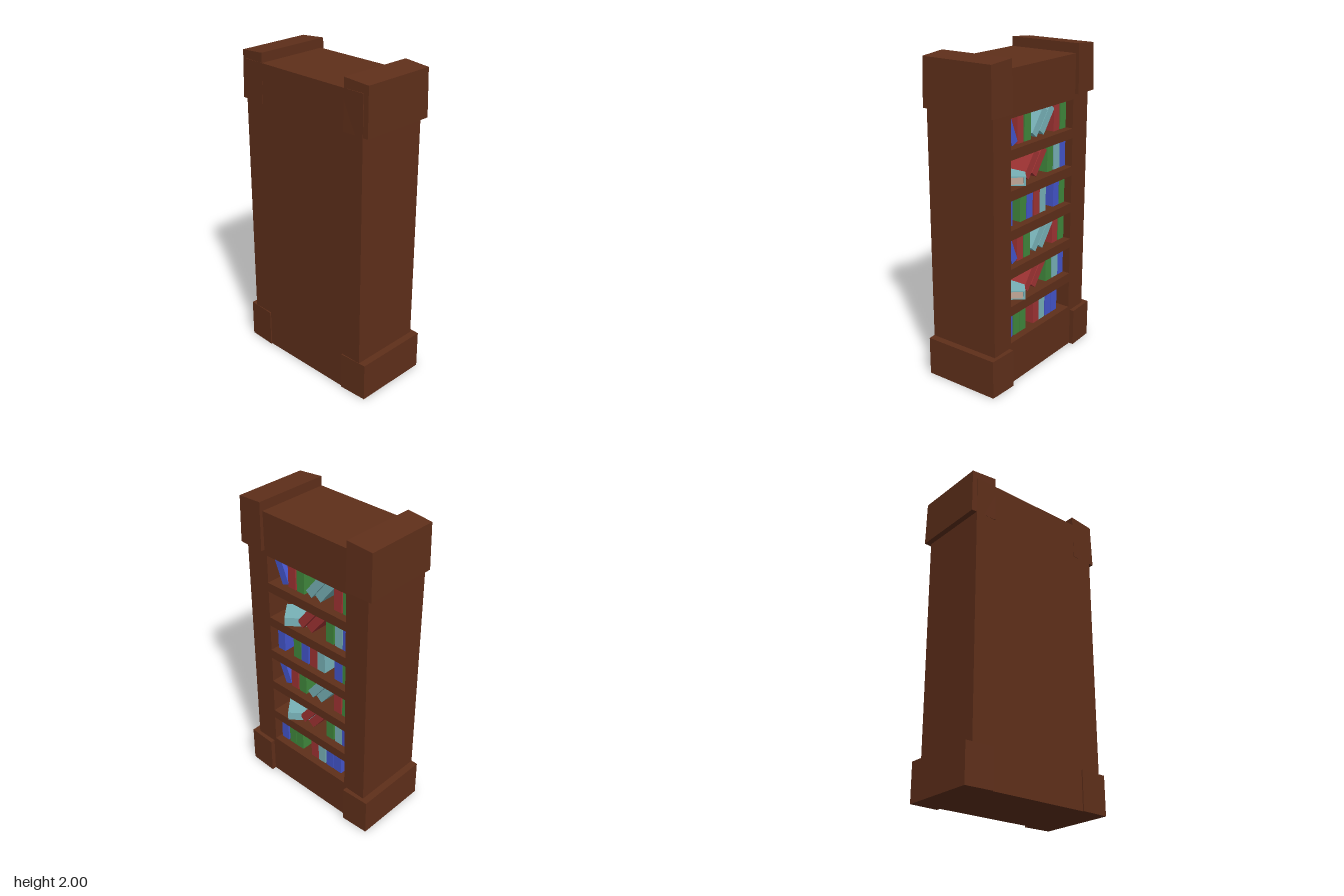
import * as THREE from 'three';

const material = (color) => new THREE.MeshStandardMaterial({ color, flatShading: true });

export function createModel() {
  const bookcase = new THREE.Group();
  bookcase.name = 'bookcase';
  const wood = material(0x5f2f1a);
  const paper = material(0xc2a898);
  const covers = {
    blue: material(0x4455cc), red: material(0xa03333),
    green: material(0x40883c), teal: material(0x78b2b8),
  };

  const add = (parent, name, geometry, mat, x = 0, y = 0, z = 0) => {
    const mesh = new THREE.Mesh(geometry, mat);
    mesh.name = name;
    mesh.position.set(x, y, z);
    parent.add(mesh);
    return mesh;
  };

  // Cabinet: solid back half plus a deep front with six shelf openings (open towards +x)
  const height = 1.94, halfDepth = 0.472, shelfBack = -0.02, front = 0.228;
  const floors = [1.483, 1.241, 1.0, 0.758, 0.517, 0.275];
  const openHalf = 0.312, openHeight = 0.181;
  const backWidth = shelfBack + 0.25;
  add(bookcase, 'cabinetBack', new THREE.BoxGeometry(backWidth, height, halfDepth * 2), wood,
    -0.25 + backWidth / 2, height / 2, 0);

  const rectangle = (path, x0, y0, x1, y1) => {
    path.moveTo(x0, y0);
    path.lineTo(x1, y0);
    path.lineTo(x1, y1);
    path.lineTo(x0, y1);
    path.closePath();
    return path;
  };
  const face = rectangle(new THREE.Shape(), -halfDepth, 0, halfDepth, height);
  for (const y of floors) {
    face.holes.push(rectangle(new THREE.Path(), -openHalf, y, openHalf, y + openHeight));
  }
  const shelves = new THREE.ExtrudeGeometry(face, { depth: front - shelfBack, bevelEnabled: false });
  shelves.rotateY(Math.PI / 2);
  add(bookcase, 'shelfFrame', shelves, wood, shelfBack, 0, 0);

  // End blocks: boxes tapered towards the outer end and, for the upper pair, the top
  const endBlock = (y0, y1, innerHalf, outerHalf, outerZ, topInset, topDrop) => {
    const geometry = new THREE.BoxGeometry(2, 1, 1);
    const p = geometry.attributes.position;
    for (let i = 0; i < p.count; i++) {
      const top = p.getY(i) > 0, outer = p.getZ(i) > 0;
      const half = (outer ? outerHalf : innerHalf) - (top ? topInset : 0);
      p.setXYZ(i, Math.sign(p.getX(i)) * half,
        top ? y1 - (outer ? topDrop : 0) : y0,
        outer ? outerZ - (top ? topInset : 0) : 0.33);
    }
    geometry.computeVertexNormals();
    return geometry;
  };
  const plinth = endBlock(0, 0.245, 0.258, 0.25, 0.517, 0, 0);
  const crown = endBlock(1.695, 2, 0.253, 0.247, 0.507, 0.005, 0.013);
  for (const [side, turn] of [['Left', 0], ['Right', Math.PI]]) {
    add(bookcase, `plinth${side}`, plinth, wood).rotation.y = turn;
    add(bookcase, `crown${side}`, crown, wood).rotation.y = turn;
  }

  // Books: [colour, centre z, lean in radians]
  const bookDepth = 0.16, bookX = 0.1;
  const upright = new THREE.BoxGeometry(bookDepth, 0.178, 0.06);
  const leaning = new THREE.BoxGeometry(bookDepth, 0.178, 0.054);
  const rowA = [['blue', 0.247, 0.4], ['red', 0.16], ['green', 0.089], ['teal', -0.032, -0.66],
    ['teal', -0.105, -0.66], ['red', -0.206], ['green', -0.276]];
  const rowB = [['red', 0.045, -0.66], ['red', -0.031, -0.66], ['green', -0.143],
    ['teal', -0.215], ['blue', -0.276]];
  const rowC = [['blue', 0.267], ['green', 0.13], ['blue', 0.064], ['red', -0.008],
    ['teal', -0.072], ['blue', -0.213], ['green', -0.276]];
  const rowD = [['blue', 0.267], ['green', 0.193], ['green', 0.13], ['red', -0.008],
    ['teal', -0.072], ['blue', -0.143], ['blue', -0.21]];
  [rowA, rowB, rowC, rowA, rowB, rowD].forEach((row, i) => {
    for (const [color, z, lean = 0] of row) {
      const book = add(bookcase, `${color}Book`, lean ? leaning : upright, covers[color],
        bookX, floors[i] + openHeight / 2, z);
      book.rotation.x = lean;
    }
    if (row === rowB) lyingBook(floors[i]);
  });

  // Book lying flat, turned so that one corner pokes out of the shelf
  function lyingBook(floor) {
    const book = new THREE.Group();
    book.name = 'lyingBook';
    const width = 0.16, length = 0.19, thick = 0.057, board = 0.007;
    for (const y of [board / 2, thick - board / 2]) {
      add(book, 'cover', new THREE.BoxGeometry(length, board, width), covers.teal, -length / 2, y, width / 2);
    }
    add(book, 'spine', new THREE.BoxGeometry(length, thick - 2 * board, 0.012), covers.teal,
      -length / 2, thick / 2, 0.006);
    add(book, 'pages', new THREE.BoxGeometry(length - 0.006, thick - 2 * board, width - 0.024), paper,
      -length / 2, thick / 2, width / 2 + 0.004);
    book.position.set(0.235, floor + 0.001, 0.177);
    book.rotation.y = -0.87;
    bookcase.add(book);
  }

  return bookcase;
}
